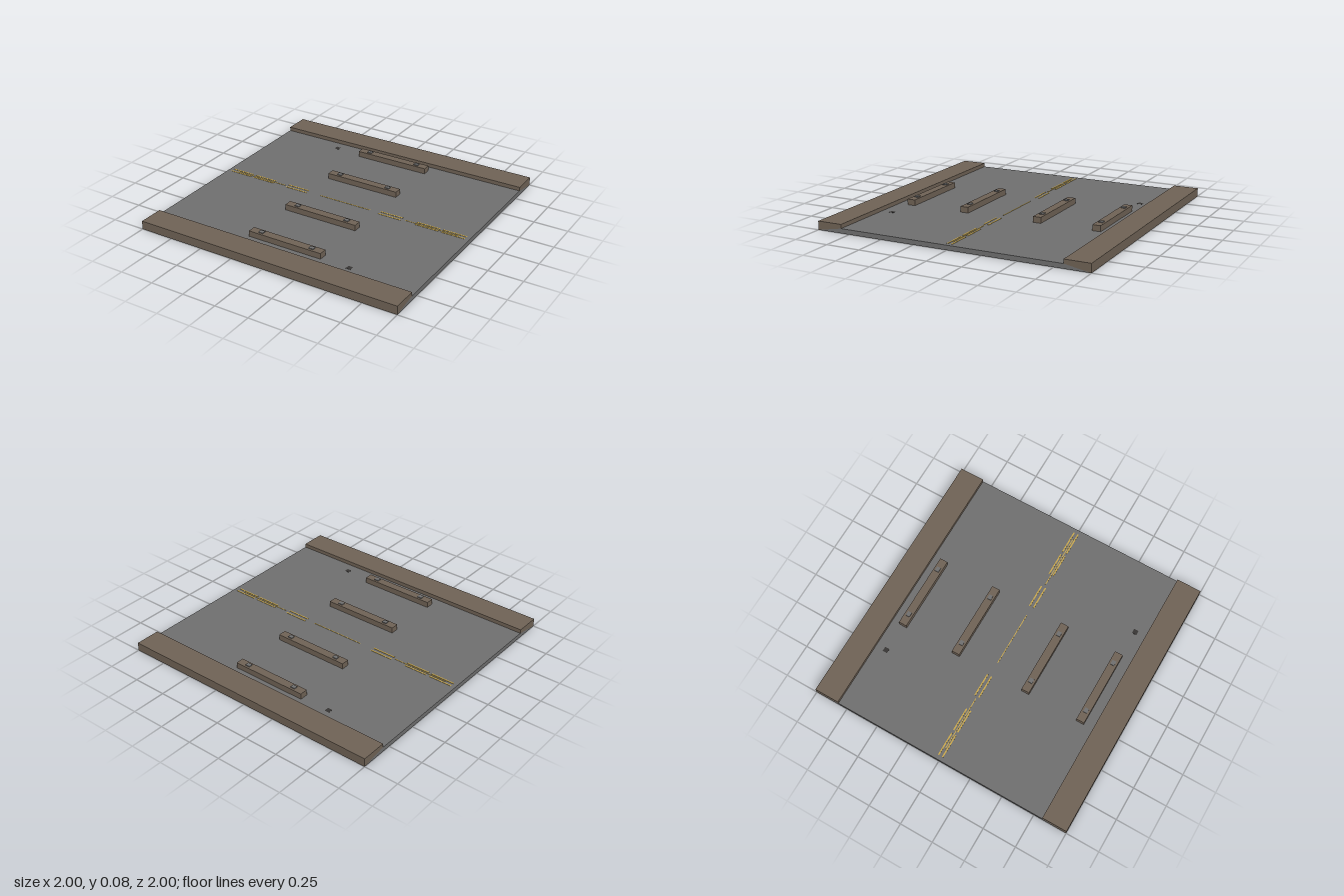
import * as THREE from 'three';

const mat = (name, color) => new THREE.MeshStandardMaterial({ name, color });

export function createModel() {
  const asphalt = mat('asphalt grey', 0x707070);
  const brown = mat('kerb brown', 0x706356);
  const yellow = mat('line yellow', 0xc8a84e);
  const dark = mat('drain dark', 0x383634);

  const group = new THREE.Group();
  const roadY = 0.033;

  const box = (name, material, [w, h, d], [x, y, z], parent = group) => {
    const mesh = new THREE.Mesh(new THREE.BoxGeometry(w, h, d), material);
    mesh.name = name;
    mesh.position.set(x, y, z);
    parent.add(mesh);
  };

  // Cross-section given as [z, y], swept along the full width in x
  const sweep = (name, material, points) => {
    const shape = new THREE.Shape(points.map(([z, y]) => new THREE.Vector2(-z, y)));
    const geometry = new THREE.ExtrudeGeometry(shape, { depth: 2, bevelEnabled: false });
    geometry.translate(0, 0, -1).rotateY(Math.PI / 2);
    const mesh = new THREE.Mesh(geometry, material);
    mesh.name = name;
    group.add(mesh);
  };

  // Road slab with edges sloping down beneath the kerbs
  sweep('roadSlab', asphalt, [[-1, 0], [-0.815, roadY], [0.815, roadY], [1, 0]]);

  for (const s of [1, -1]) {
    sweep(s > 0 ? 'frontKerb' : 'backKerb', brown,
      [[s, 0], [s, 0.062], [s * 0.815, 0.062], [s * 0.815, roadY]]);
    // Small drain plate near each kerb
    box('drainPlate', dark, [0.035, 0.001, 0.035], [s * 0.5, roadY + 0.0005, s * 0.735]);
  }

  // Parking stops, each with two bolt heads
  for (const z of [0.713, 0.277, -0.288, -0.726]) {
    const stop = new THREE.Group();
    stop.name = 'parkingStop';
    stop.position.z = z;
    group.add(stop);
    box('stopBar', brown, [0.57, 0.042, 0.06], [0, 0.054, 0], stop);
    for (const x of [-0.2, 0.2]) box('boltHead', asphalt, [0.035, 0.006, 0.03], [x, 0.078, 0], stop);
  }

  // Paired yellow dashes, mirrored left and right
  for (const s of [1, -1]) {
    for (const x of [0.388, 0.678, 0.88]) {
      for (const z of [0.014, -0.018])
        box('doubleLineDash', yellow, [0.177, 0.002, 0.01], [s * x, roadY + 0.001, z]);
    }
  }

  // Thin dashes along the middle
  for (const x of [-0.703, 0.017, 0.71])
    box('centreDash', yellow, [0.415, 0.002, 0.006], [x, roadY + 0.001, 0]);

  return group;
}
